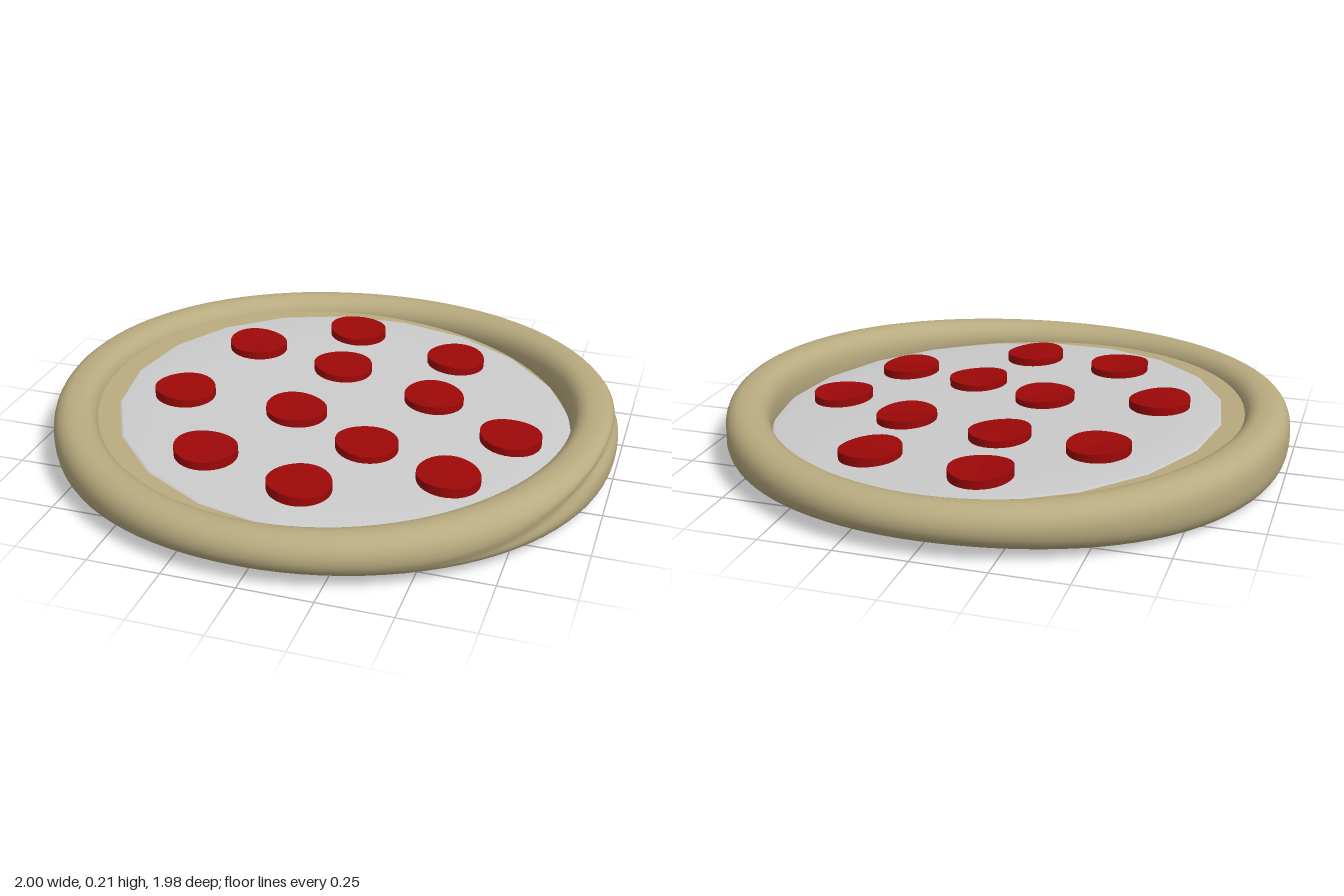
import * as THREE from 'three';

const TAN = new THREE.MeshStandardMaterial({ color: 0xb9ab80 });
const RED = new THREE.MeshStandardMaterial({ color: 0x9e0808 });
const GREY = new THREE.MeshStandardMaterial({ color: 0xcccccc });

// The filling leans slightly: higher towards -x
const lean = (x) => -0.05 * x;

function addMesh(group, name, geometry, material) {
  const mesh = new THREE.Mesh(geometry, material);
  mesh.name = name;
  group.add(mesh);
  return mesh;
}

// Moves every vertex of a geometry by a rule
function warp(geometry, rule) {
  const p = geometry.attributes.position;
  const v = new THREE.Vector3();
  for (let i = 0; i < p.count; i++) {
    v.fromBufferAttribute(p, i);
    rule(v);
    p.setXYZ(i, v.x, v.y, v.z);
  }
  geometry.computeVertexNormals();
  return geometry;
}

// Rolled rim: a ring whose section grows taller and squarer towards both x ends
function crustGeometry() {
  const rings = 96, sides = 36, pos = [], index = [];
  for (let i = 0; i < rings; i++) {
    const a = (i / rings) * Math.PI * 2;
    const end = Math.cos(a) ** 2;
    const high = 0.068 + 0.033 * end;
    const wide = 0.075 + 0.007 * end;
    const power = 1 - 0.22 * end;
    // the underside sags on the -x half
    const sag = Math.cos(a) < 0 ? 0.01 * Math.sin(2 * a) ** 2 + 0.005 * end : 0;
    // a wandering dough fold on the +x side
    const fold = Math.max(0, Math.cos(a)) ** 3 * 0.018;
    const foldAt = 0.5 * Math.cos(3 * a);
    for (let j = 0; j < sides; j++) {
      const t = (j / sides) * Math.PI * 2 - Math.PI;
      const c = Math.cos(t), s = Math.sin(t);
      const dent = fold * Math.exp(-(((t - foldAt) / 0.2) ** 2));
      const r = 0.915 + 0.003 * end + wide * Math.sign(c) * Math.abs(c) ** power - dent;
      const y = 0.11 + (s < 0 ? high + sag : high) * Math.sign(s) * Math.abs(s) ** power;
      pos.push(r * Math.cos(a), y, r * Math.sin(a));
      const i2 = (i + 1) % rings, j2 = (j + 1) % sides;
      const A = i * sides + j, B = i2 * sides + j, C = i2 * sides + j2, D = i * sides + j2;
      index.push(A, D, B, B, D, C);
    }
  }
  const g = new THREE.BufferGeometry();
  g.setAttribute('position', new THREE.Float32BufferAttribute(pos, 3));
  g.setIndex(index);
  g.computeVertexNormals();
  return g;
}

export function createModel() {
  const pizza = new THREE.Group();
  pizza.name = 'pizza';

  addMesh(pizza, 'crust', crustGeometry(), TAN);

  // Dough base: flat below, leaning on top
  const base = warp(new THREE.CylinderGeometry(0.87, 0.87, 0.05, 48), (v) => {
    v.y = v.y > 0 ? 0.117 + lean(v.x) : 0.062;
  });
  addMesh(pizza, 'doughBase', base, TAN);

  // Cheese: a gently domed, twenty-sided sheet, a little off centre
  const dome = [[0.81, -0.005], [0.8, 0.003], [0.66, 0.008], [0.4, 0.012], [0, 0.014]];
  const profile = dome.map(([r, y]) => new THREE.Vector2(r, y));
  const cheese = warp(new THREE.LatheGeometry(profile, 20), (v) => {
    v.x += 0.04;
    v.y += 0.121 + lean(v.x);
  });
  addMesh(pizza, 'cheese', cheese, GREY);

  // Pepperoni slices: x, z
  const slices = [
    [-0.1, -0.61], [0.32, -0.51], [-0.42, -0.34], [-0.06, -0.28],
    [0.32, -0.17], [0.64, 0.01], [-0.53, 0.12], [-0.11, 0.11],
    [0.19, 0.25], [0.5, 0.35], [-0.3, 0.49], [0.06, 0.58],
  ];
  const pepperoni = new THREE.Group();
  pepperoni.name = 'pepperoni';
  slices.forEach(([x, z], i) => {
    // each slice curls gently in its own direction
    const turn = i * 1.9;
    const slice = warp(new THREE.CylinderGeometry(0.108, 0.108, 0.034, 32), (v) => {
      const u = v.x * Math.cos(turn) + v.z * Math.sin(turn);
      v.y += 0.6 * u * u + lean(v.x);
    });
    addMesh(pepperoni, 'pepperoniSlice', slice, RED).position.set(x, 0.139 + lean(x), z);
  });
  pizza.add(pepperoni);

  return pizza;
}
